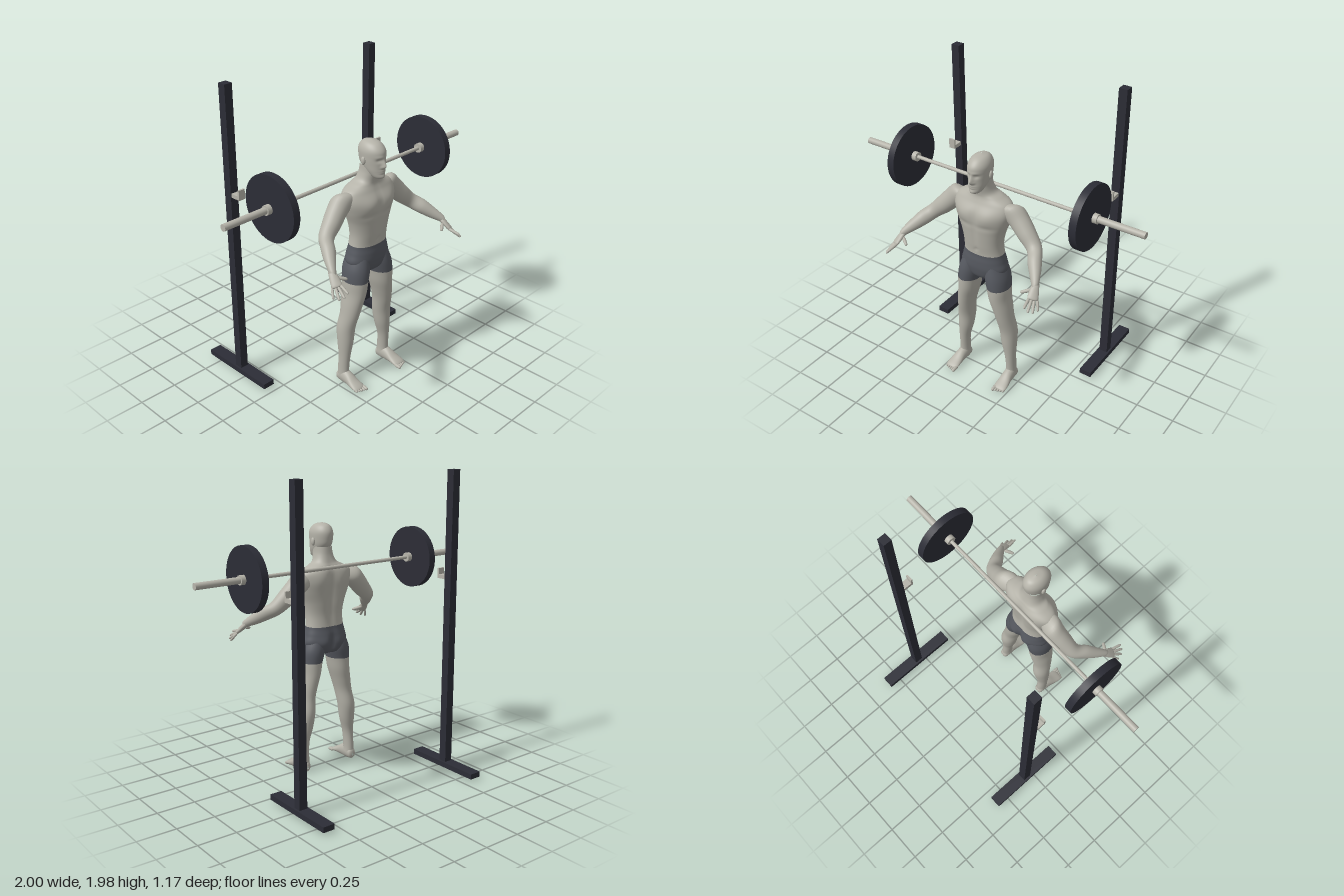
import * as THREE from 'three';

const paint = (name, color) => {
  const m = new THREE.MeshStandardMaterial({ color });
  m.name = name;
  return m;
};
const V = (x, y, z) => new THREE.Vector3(x, y, z);
const bump = (d, s) => Math.exp(-(d * d) / (2 * s * s));

// Smooth value between rows of numbers, at row position t
function rowAt(rows, t) {
  const last = rows.length - 1;
  const i = Math.min(Math.floor(t), last - 1), f = t - i;
  const r = k => rows[Math.max(0, Math.min(last, k))];
  return rows[0].map((_, c) => {
    const [p, a, b, n] = [r(i - 1)[c], r(i)[c], r(i + 1)[c], r(i + 2)[c]];
    return a + 0.5 * f * (b - p + f * (2 * p - 5 * a + 4 * b - n + f * (3 * (a - b) + n - p)));
  });
}

// Surface through elliptical rings [x, y, z, halfWidth, halfDepth]
function loft(rows, { axis = V(0, 1, 0), ref = V(0, 0, 1), from = 0, to = rows.length - 1,
  sides = 28, steps = 5, side = 1, power = 2, shape } = {}) {
  const w = axis.clone().normalize();
  const v = ref.clone().addScaledVector(w, -ref.dot(w)).normalize();
  const u = v.clone().cross(w);
  const rings = Math.round((to - from) * steps);
  const pos = [], index = [];
  const round = c => Math.sign(c) * Math.abs(c) ** (2 / power);
  for (let i = 0; i <= rings; i++) {
    const [x, y, z, a, b = a] = rowAt(rows, from + ((to - from) * i) / rings);
    for (let j = 0; j < sides; j++) {
      const th = (j / sides) * Math.PI * 2;
      const p = V(x, y, z).addScaledVector(u, Math.max(a, 0.001) * round(Math.cos(th)))
        .addScaledVector(v, Math.max(b, 0.001) * round(Math.sin(th)));
      if (shape) shape(p, Math.sin(th));
      pos.push(p.x * side, p.y, p.z);
      if (i === rings) continue;
      const k = (j + 1) % sides, A = i * sides + j, B = i * sides + k, C = B + sides, D = A + sides;
      if (side > 0) index.push(A, B, C, A, C, D);
      else index.push(A, C, B, A, D, C);
    }
  }
  const g = new THREE.BufferGeometry();
  g.setAttribute('position', new THREE.Float32BufferAttribute(pos, 3));
  g.setIndex(index);
  g.computeVertexNormals();
  return g;
}

// Pelvis, trunk and neck; shorts end at row 4
const TRUNK = [
  [0, 0.785, 0.25, 0.02, 0.02], [0, 0.80, 0.25, 0.10, 0.075], [0, 0.86, 0.25, 0.158, 0.093],
  [0, 0.92, 0.25, 0.148, 0.094], [0, 0.975, 0.252, 0.135, 0.087], [0, 1.05, 0.258, 0.132, 0.09],
  [0, 1.13, 0.258, 0.148, 0.098], [0, 1.21, 0.257, 0.178, 0.105], [0, 1.28, 0.252, 0.196, 0.104],
  [0, 1.335, 0.242, 0.185, 0.088], [0, 1.37, 0.243, 0.125, 0.074], [0, 1.395, 0.25, 0.08, 0.068],
  [0, 1.44, 0.262, 0.062, 0.066], [0, 1.49, 0.27, 0.058, 0.066],
];
// Leg; shorts begin at row 8
const LEG = [
  [0.187, 0.05, 0.235, 0.034, 0.042], [0.187, 0.10, 0.235, 0.032, 0.04], [0.183, 0.2, 0.24, 0.036, 0.041],
  [0.172, 0.3, 0.236, 0.05, 0.054], [0.164, 0.4, 0.233, 0.056, 0.063], [0.15, 0.5, 0.25, 0.055, 0.068],
  [0.135, 0.58, 0.255, 0.06, 0.078], [0.118, 0.66, 0.257, 0.066, 0.088], [0.11, 0.74, 0.257, 0.073, 0.092],
  [0.096, 0.82, 0.252, 0.077, 0.094], [0.08, 0.90, 0.25, 0.06, 0.08],
];
const ARM = [
  [0.13, 1.305, 0.235, 0.045], [0.19, 1.292, 0.23, 0.068], [0.25, 1.24, 0.235, 0.063],
  [0.31, 1.18, 0.25, 0.057], [0.37, 1.125, 0.27, 0.047], [0.41, 1.09, 0.325, 0.046],
  [0.45, 1.05, 0.38, 0.037], [0.483, 1.017, 0.43, 0.025], [0.492, 1.003, 0.445, 0.021],
];
const PALM = [
  [0.486, 1.015, 0.425, 0.018, 0.015], [0.492, 0.995, 0.45, 0.026, 0.017],
  [0.502, 0.968, 0.48, 0.031, 0.015], [0.508, 0.953, 0.498, 0.029, 0.011], [0.51, 0.949, 0.503, 0.003, 0.003],
];
// Thumb to little finger: base, tip, radius
const FINGERS = [
  [[0.478, 0.985, 0.455], [0.422, 0.966, 0.495], 0.011], [[0.486, 0.962, 0.49], [0.502, 0.937, 0.58], 0.0095],
  [[0.50, 0.956, 0.49], [0.524, 0.913, 0.574], 0.0095], [[0.514, 0.951, 0.487], [0.544, 0.899, 0.552], 0.009],
  [[0.527, 0.95, 0.475], [0.556, 0.896, 0.515], 0.008],
];
const FOOT = [
  [0.188, 0.03, 0.187, 0.006, 0.008], [0.188, 0.034, 0.197, 0.027, 0.033], [0.188, 0.045, 0.24, 0.034, 0.05],
  [0.19, 0.04, 0.29, 0.036, 0.043], [0.193, 0.026, 0.34, 0.042, 0.026], [0.194, 0.016, 0.38, 0.043, 0.015],
  [0.194, 0.012, 0.395, 0.03, 0.008], [0.194, 0.012, 0.397, 0.002, 0.002],
];
const HEAD = [
  [0, 1.41, 0.335, 0.012, 0.015], [0, 1.425, 0.328, 0.036, 0.04], [0, 1.46, 0.303, 0.054, 0.066],
  [0, 1.50, 0.285, 0.063, 0.085], [0, 1.54, 0.28, 0.067, 0.092], [0, 1.58, 0.278, 0.067, 0.093],
  [0, 1.61, 0.274, 0.056, 0.077], [0, 1.63, 0.27, 0.036, 0.05], [0, 1.64, 0.268, 0.003, 0.004],
];

// Chest, abdomen, spine groove, shoulder blades and buttocks
function trunkShape(p, s) {
  const ax = Math.abs(p.x), { y } = p;
  if (s > 0) {
    p.z += s * (0.012 * bump(ax - 0.085, 0.045) * bump(y - 1.255, 0.035)
      - 0.007 * bump(ax, 0.012) * bump(y - 1.2, 0.11)
      - 0.005 * bump(y - 1.19, 0.012) * bump(ax - 0.08, 0.05)
      - 0.006 * bump(ax, 0.007) * bump(y - 1.015, 0.008));
  } else {
    p.z -= s * (0.02 * bump(ax, 0.022) * bump(y - 1.18, 0.12)
      - 0.01 * bump(ax - 0.1, 0.04) * bump(y - 1.29, 0.05)
      - 0.014 * bump(ax - 0.065, 0.04) * bump(y - 0.865, 0.035)
      + 0.02 * bump(ax, 0.014) * bump(y - 0.85, 0.045));
  }
}

// Nose, brow, eye sockets, lips and chin
function faceShape(p, s) {
  if (s <= 0) return;
  const ax = Math.abs(p.x), { y } = p;
  p.z += s * (0.02 * bump(ax, 0.009) * bump(y - 1.497, 0.012)
    + 0.01 * bump(ax, 0.008) * bump(y - 1.52, 0.014)
    + 0.005 * bump(ax - 0.014, 0.006) * bump(y - 1.491, 0.006)
    + 0.004 * bump(ax - 0.025, 0.018) * bump(y - 1.552, 0.007)
    - 0.009 * bump(ax - 0.027, 0.012) * bump(y - 1.533, 0.009)
    + 0.006 * bump(ax, 0.016) * (bump(y - 1.468, 0.004) + bump(y - 1.456, 0.004))
    + 0.006 * bump(ax, 0.018) * bump(y - 1.43, 0.01));
}

// Rounded digit from base to tip
function digit(a, b, r, side) {
  const rows = [[0, 0.7], [0.3, 1], [0.65, 0.95], [0.92, 0.75], [1, 0.05]].map(([t, k]) =>
    [...a.map((c, i) => c + (b[i] - c) * t), r * k]);
  return loft(rows, { axis: V(b[0] - a[0], b[1] - a[1], b[2] - a[2]), ref: V(0, 1, 0), sides: 12, steps: 3, side });
}

export function createModel() {
  const skin = paint('skin', 0xb5b3a9), cloth = paint('shorts grey', 0x565960);
  const dark = paint('dark rack', 0x2c2d36), steel = paint('steel', 0xb6b4aa);
  const root = new THREE.Group();
  root.name = 'lifterAndRack';
  const figure = new THREE.Group(), rack = new THREE.Group(), barbell = new THREE.Group();
  figure.name = 'figure'; rack.name = 'rack'; barbell.name = 'barbell';
  root.add(figure, rack, barbell);
  const add = (parent, name, geometry, material, x = 0, y = 0, z = 0) => {
    const m = new THREE.Mesh(geometry, material);
    m.name = name;
    m.position.set(x, y, z);
    parent.add(m);
    return m;
  };

  // Body
  const trunk = { sides: 64, steps: 7, power: 2.2, shape: trunkShape };
  add(figure, 'shortsSeat', loft(TRUNK, { ...trunk, to: 4 }), cloth);
  add(figure, 'torso', loft(TRUNK, { ...trunk, from: 4 }), skin);
  add(figure, 'head', loft(HEAD, { sides: 80, steps: 9, shape: faceShape }), skin);

  for (const side of [1, -1]) {
    const n = side > 0 ? 'left' : 'right';
    add(figure, n + 'Ear', new THREE.SphereGeometry(1, 16, 12).scale(0.011, 0.026, 0.016), skin, side * 0.069, 1.522, 0.272);
    add(figure, n + 'Leg', loft(LEG, { side, to: 8 }), skin);
    add(figure, n + 'ShortsLeg', loft(LEG, { side, from: 8 }), cloth);
    add(figure, n + 'Arm', loft(ARM, { side, axis: V(0.34, -0.3, 0.2) }), skin);
    add(figure, n + 'Palm', loft(PALM, { side, axis: V(0.02, -0.055, 0.065), ref: V(0.5, 0.8, 0.52), sides: 20 }), skin);
    for (const [a, b, r] of FINGERS) add(figure, n + 'Finger', digit(a, b, r, side), skin);
    add(figure, n + 'Foot', loft(FOOT, {
      side, axis: V(0, 0, 1), ref: V(0, 1, 0), shape: p => { p.y = Math.max(p.y, 0); },
    }), skin);
    for (let i = 0; i < 5; i++) {
      const x = 0.161 + i * 0.0165, r = i ? 0.0085 : 0.012;
      add(figure, n + 'Toe', digit([x, 0.013, 0.37], [x, 0.009, 0.425 - i * 0.006], r, side), skin);
    }

    // Rack upright, foot and hook
    const x = side * 0.592;
    add(rack, n + 'Upright', new THREE.BoxGeometry(0.055, 1.93, 0.055), dark, x, 1.015, -0.308);
    add(rack, n + 'Base', new THREE.BoxGeometry(0.08, 0.035, 0.55), dark, x, 0.033, -0.313);
    add(rack, n + 'HookArm', new THREE.BoxGeometry(0.045, 0.025, 0.072), steel, x, 1.297, -0.246);
    add(rack, n + 'HookLip', new THREE.BoxGeometry(0.045, 0.065, 0.012), steel, x, 1.317, -0.216);

    // Weight plate, collars and sleeve
    const disc = (name, r, x0, x1, mat, seg = 32) => add(barbell, n + name,
      new THREE.CylinderGeometry(r, r, x1 - x0, seg).rotateZ(Math.PI / 2), mat, side * (x0 + x1) / 2, 1.37, 0.13);
    disc('Plate', 0.203, 0.627, 0.674, dark, 56);
    disc('InnerCollar', 0.03, 0.596, 0.627, steel);
    disc('OuterCollar', 0.03, 0.674, 0.704, steel);
    disc('Sleeve', 0.021, 0.62, 1, steel);
  }
  add(barbell, 'shaft', new THREE.CylinderGeometry(0.012, 0.012, 1.24, 24).rotateZ(Math.PI / 2), steel, 0, 1.37, 0.13);
  return root;
}
